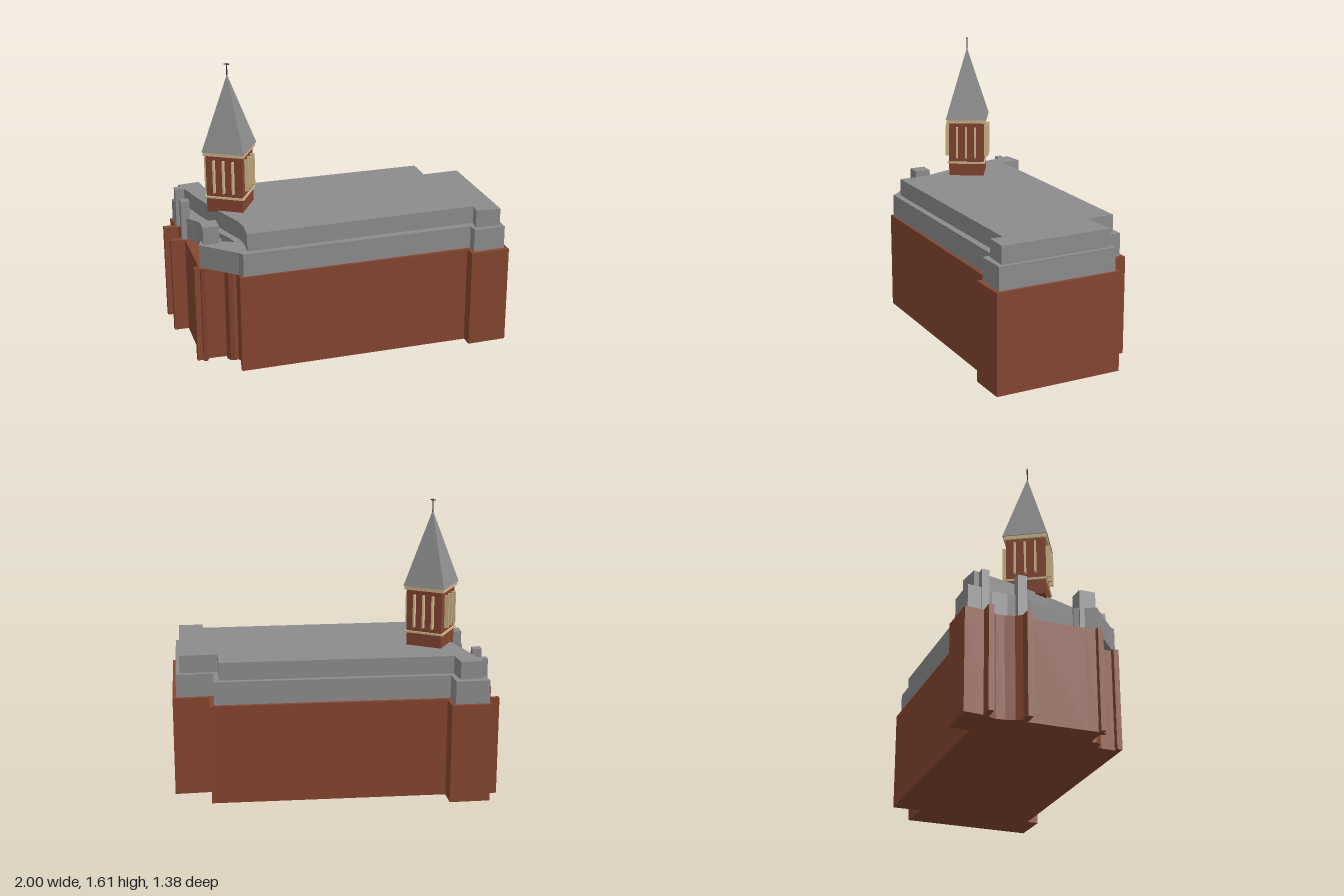
import * as THREE from 'three';

const material = (name, color) => {
  const m = new THREE.MeshStandardMaterial({ color });
  m.name = name;
  return m;
};

export function createModel() {
  const model = new THREE.Group();
  model.name = 'church';
  const brick = material('brick', 0x854530);
  const slate = material('slate grey', 0x8c8c8d);
  const stone = material('pale stone', 0xd0b88a);
  const iron = material('dark iron', 0x3a3a3a);

  const add = (parent, name, geometry, mat, x = 0, y = 0, z = 0) => {
    const mesh = new THREE.Mesh(geometry, mat);
    mesh.name = name;
    mesh.position.set(x, y, z);
    parent.add(mesh);
    return mesh;
  };

  // Upright prism over a plan of [x, z] points
  const prism = (name, plan, y0, y1, mat) => {
    const shape = new THREE.Shape(plan.map(([x, z]) => new THREE.Vector2(x, -z)));
    const g = new THREE.ExtrudeGeometry(shape, { depth: y1 - y0, bevelEnabled: false });
    g.rotateX(-Math.PI / 2);
    return add(model, name, g, mat, 0, y0, 0);
  };

  // Brick walls, with buttresses and a bowed bay on the entrance end
  prism('brickWalls', [
    [0.37, -0.69], [0.45, -0.55], [0.62, -0.66], [0.995, -0.03], [0.805, 0.085], [0.77, 0.03],
    [-0.355, 0.685], [-0.37, 0.66], [-0.35, 0.645], [-0.39, 0.58],
    [-0.415, 0.56], [-0.43, 0.575], [-0.455, 0.58], [-0.48, 0.565], [-0.49, 0.54],
    [-0.55, 0.57], [-0.58, 0.59], [-0.575, 0.62], [-0.595, 0.625], [-0.605, 0.61],
    [-0.63, 0.63], [-0.645, 0.605], [-0.625, 0.59], [-0.65, 0.54],
    [-0.81, 0.265], [-0.88, 0.305], [-0.895, 0.28], [-0.85, 0.25],
    [-0.845, 0.21], [-0.86, 0.16], [-0.88, 0.12], [-0.91, 0.09],
    [-0.985, 0.13], [-1.0, 0.105], [-0.94, 0.07], [-1.0, -0.015],
    [-0.81, -0.13], [-0.75, -0.035],
  ], 0, 0.56, brick);

  // Lower roof tier, with an arm reaching out over the entrance
  prism('lowerRoofTier', [
    [0.36, -0.66], [0.44, -0.52], [0.615, -0.63], [0.965, -0.04], [0.81, 0.055], [0.78, 0.0],
    [-0.34, 0.665], [-0.37, 0.648], [-0.61, 0.6], [-0.625, 0.48], [-0.52, 0.48],
    [-0.51, 0.52], [-0.43, 0.515], [-0.49, 0.46], [-0.74, 0.28], [-0.81, 0.25],
    [-0.83, 0.17], [-0.88, 0.1], [-0.93, 0.06], [-0.98, -0.005],
    [-0.82, -0.1], [-0.755, -0.005],
  ], 0.56, 0.69, slate);

  // Upper roof tier
  prism('upperRoofTier', [
    [0.35, -0.62], [0.43, -0.485], [0.61, -0.595], [0.935, -0.05], [0.81, 0.015], [0.785, -0.05],
    [-0.33, 0.62], [-0.375, 0.53], [-0.42, 0.47], [-0.58, 0.34], [-0.74, 0.2],
    [-0.86, 0.08], [-0.93, 0.015], [-0.83, -0.06], [-0.76, 0.03],
  ], 0.69, 0.79, slate);

  // Raised slate blocks above the entrance piers
  [
    [-0.57, 0.53, 0.09, 0.09], [-0.815, 0.235, 0.05, 0.05], [-0.905, 0.06, 0.06, 0.04],
  ].forEach(([x, z, w, d]) => {
    const block = add(model, 'entranceRoofBlock', new THREE.BoxGeometry(w, 0.23, d), slate, x, 0.675, z);
    block.rotation.y = Math.PI / 6;
  });

  // Bell tower
  const tower = new THREE.Group();
  tower.name = 'bellTower';
  tower.position.set(-0.54, 0, 0.235);
  model.add(tower);
  const slab = (name, width, y0, y1, mat) =>
    add(tower, name, new THREE.BoxGeometry(width, y1 - y0, width), mat, 0, (y0 + y1) / 2, 0);
  slab('towerShaft', 0.206, 0.78, 1.11, brick);
  slab('lowerStoneBand', 0.222, 0.863, 0.874, stone);
  slab('stoneCornice', 0.23, 1.11, 1.13, stone);

  // Three projecting stone fins on each tower face
  for (let side = 0; side < 4; side++) {
    const face = new THREE.Group();
    face.name = 'towerFins';
    face.rotation.y = side * Math.PI / 2;
    for (const x of [-0.054, 0, 0.054]) {
      add(face, 'stoneFin', new THREE.BoxGeometry(0.009, 0.185, 0.03), stone, x, 0.9925, 0.113);
    }
    tower.add(face);
  }

  // Four-sided spire
  const spire = new THREE.ConeGeometry(0.12 * Math.SQRT2, 0.415, 4, 1).toNonIndexed();
  spire.rotateY(Math.PI / 4);
  spire.computeVertexNormals();
  add(tower, 'spire', spire, slate, 0, 1.3375, 0);

  // Finial cross
  add(tower, 'finialPost', new THREE.BoxGeometry(0.005, 0.07, 0.005), iron, 0, 1.573, 0);
  add(tower, 'finialBar', new THREE.BoxGeometry(0.03, 0.005, 0.005), iron, 0, 1.602, 0);

  return model;
}
